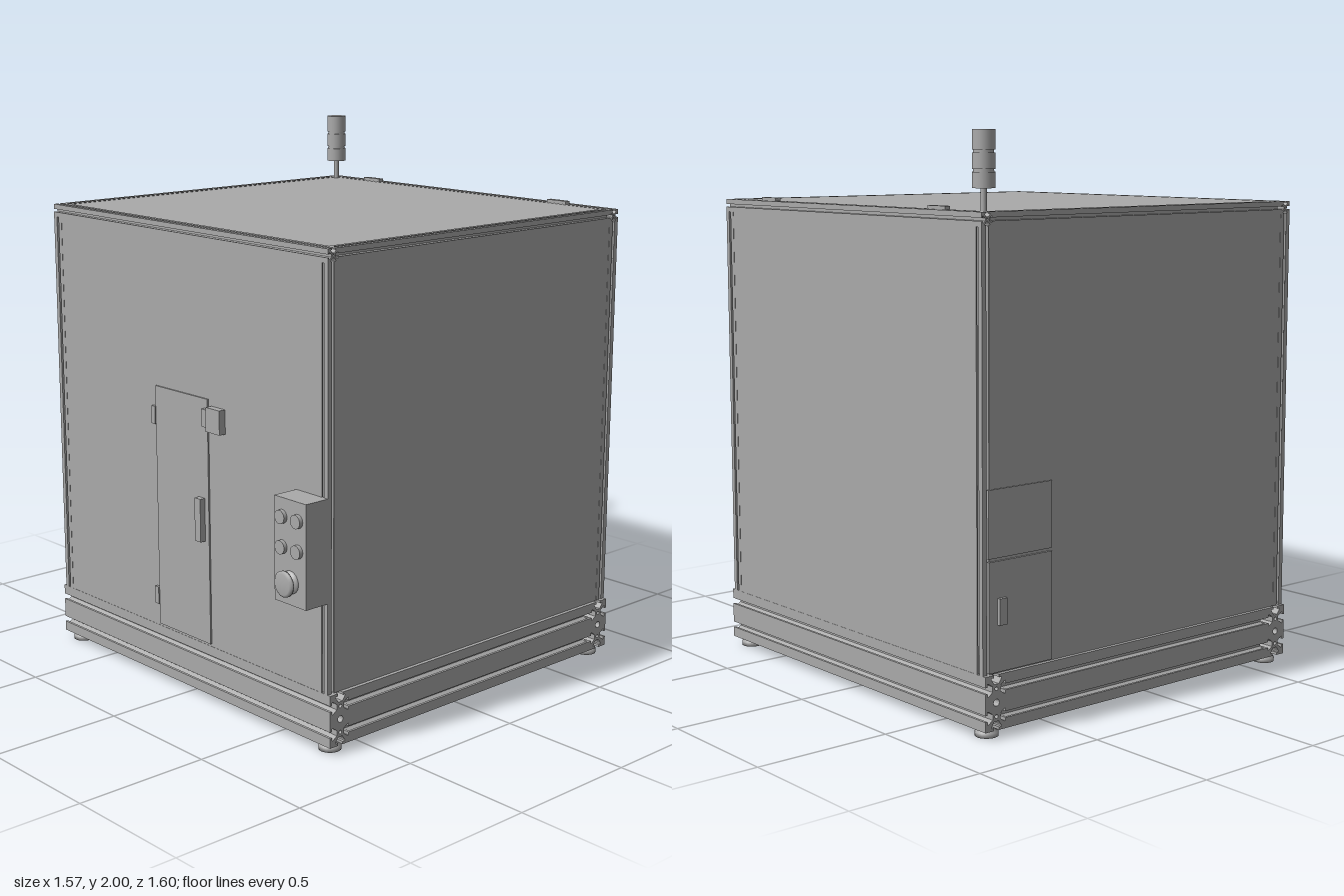
import * as THREE from 'three';

const grey = new THREE.MeshStandardMaterial({ color: 0xaaaaaa });
grey.name = 'machine grey';

export function createModel() {
  const root = new THREE.Group();
  root.name = 'machineEnclosure';

  const add = (name, geo, x = 0, y = 0, z = 0) => {
    const m = new THREE.Mesh(geo, grey);
    m.name = name;
    m.position.set(x, y, z);
    root.add(m);
    return m;
  };
  // box given by its min and max corners
  const box = (name, x0, x1, y0, y1, z0, z1) =>
    add(name, new THREE.BoxGeometry(x1 - x0, y1 - y0, z1 - z0), (x0 + x1) / 2, (y0 + y1) / 2, (z0 + z1) / 2);
  const cyl = (name, r, h, x, y, z) => add(name, new THREE.CylinderGeometry(r, r, h, 24), x, y, z);
  const lathe = (name, pts, x, y, z) =>
    add(name, new THREE.LatheGeometry(pts.map(p => new THREE.Vector2(...p)), 28), x, y, z);

  // slotted aluminium profile: cell width s, n cells stacked vertically
  const profile = (s, n) => {
    const slot = [[-0.115, 0], [-0.115, 0.1], [-0.23, 0.1], [-0.23, 0.14], [-0.1, 0.33],
      [0.1, 0.33], [0.23, 0.14], [0.23, 0.1], [0.115, 0.1], [0.115, 0]];
    const pts = [];
    const side = (x, y, dx, dy, cells) => {
      pts.push(new THREE.Vector2(x * s, y * s));
      for (let i = 0; i < cells; i++) {
        for (const [t, d] of slot) {
          const a = i + 0.5 + t;
          pts.push(new THREE.Vector2((x + dx * a - dy * d) * s, (y + dy * a + dx * d) * s));
        }
      }
    };
    side(-0.5, -n / 2, 1, 0, 1);
    side(0.5, -n / 2, 0, 1, n);
    side(0.5, n / 2, -1, 0, 1);
    side(-0.5, n / 2, 0, -1, n);
    const shape = new THREE.Shape(pts);
    const hole = (y, r) => shape.holes.push(new THREE.Path().absarc(0, y * s, r * s, 0, Math.PI * 2, true));
    for (let i = 0; i < n; i++) hole(i + 0.5 - n / 2, 0.07);
    for (let i = 1; i < n; i++) hole(i - n / 2, 0.13);
    return shape;
  };
  const beam = (name, shape, length, axis, x, y, z) => {
    const g = new THREE.ExtrudeGeometry(shape, { depth: length, bevelEnabled: false, curveSegments: 6 });
    g.translate(0, 0, -length / 2);
    if (axis === 'x') g.rotateY(Math.PI / 2);
    if (axis === 'y') g.rotateX(-Math.PI / 2);
    return add(name, g, x, y, z);
  };

  const F = 0.665, B = -0.797, mid = (F + B) / 2, depth = F - B, W = 0.767;
  const S = 0.095, P = 0.0475;
  const heavy = profile(S, 2), light = profile(P, 1);

  // base frame and its floor
  for (const z of [F - S / 2, B + S / 2]) beam('baseCrossBeam', heavy, 1.56, 'x', 0, 0.125, z);
  for (const x of [-1, 1]) beam('baseSideBeam', heavy, depth - 2 * S, 'z', x * (0.78 - S / 2), 0.125, mid);
  box('floorPlate', -0.74, 0.74, 0.2, 0.222, B + 0.03, F - 0.03);

  // upper frame and corner posts
  for (const z of [F - P / 2, B + P / 2]) {
    beam('topCrossBeam', light, 2 * W, 'x', 0, 1.74 - P / 2, z);
    for (const x of [-1, 1]) beam('cornerPost', light, 1.74 - P - 0.22, 'y', x * (W - P / 2), (1.74 - P + 0.22) / 2, z);
  }
  for (const x of [-1, 1]) beam('topSideBeam', light, depth - 2 * P, 'z', x * (W - P / 2), 1.74 - P / 2, mid);

  // wall and roof panels
  const px = W - P, y0 = 0.22, y1 = 1.74 - P, e = 0.001, t = 0.02;
  box('frontPanel', -px, px, y0, y1, F - t, F - e);
  box('backPanel', -px, px, y0, y1, B + e, B + t);
  box('leftPanel', W - t, W - e, y0, y1, B + P, F - P);
  box('rightPanel', -W + e, -W + t, y0, y1, B + P, F - P);
  box('roofPanel', -px, px, 1.74 - t, 1.74 - e, B + P, F - P);
  for (const x of [-0.505, 0.505]) box('roofHinge', x - 0.046, x + 0.046, 1.73, 1.752, -0.775, -0.753);

  // front door with hinges, handle and safety switch
  box('frontDoor', -0.15, 0.148, 0.23, 1.14, F - 0.005, F + 0.005);
  for (const y of [0.34, 1.03]) box('doorHinge', -0.17, -0.149, y - 0.033, y + 0.033, F - 0.005, F + 0.01);
  box('doorHandle', 0.095, 0.127, 0.615, 0.775, F, 0.692);
  box('switchBody', 0.165, 0.24, 1.03, 1.118, F, 0.692);
  box('switchKey', 0.132, 0.165, 1.042, 1.106, F, 0.685);

  // service hatch on the side wall
  box('upperHatch', -W - 0.004, -W + 0.005, 0.61, 0.84, -0.775, -0.5);
  box('lowerHatch', -W - 0.006, -W + 0.005, 0.225, 0.6, -0.775, -0.5);
  box('hatchHandle', -0.785, -W, 0.385, 0.475, -0.738, -0.705);

  // control box with push buttons and stop button
  box('controlBox', 0.61, 0.767, 0.545, 0.91, F - 0.005, 0.762);
  for (const x of [0.65, 0.728]) {
    for (const y of [0.74, 0.845]) cyl('pushButton', 0.024, 0.016, x, y, 0.768).rotation.x = Math.PI / 2;
  }
  lathe('stopButton', [[0.04, 0], [0.04, 0.012], [0.024, 0.014], [0.024, 0.024], [0.045, 0.026],
    [0.045, 0.034], [0.036, 0.041], [0, 0.041]], 0.69, 0.625, 0.76).rotation.x = Math.PI / 2;

  // signal tower
  cyl('towerPole', 0.01, 0.09, -0.7, 1.775, -0.733);
  for (const [a, b] of [[1.813, 1.865], [1.874, 1.926], [1.935, 2]]) {
    cyl('towerLamp', 0.038, b - a, -0.7, (a + b) / 2, -0.733);
  }
  cyl('towerCore', 0.034, 0.16, -0.7, 1.9, -0.733);

  // levelling feet
  for (const x of [-0.725, 0.725]) {
    for (const z of [0.615, -0.747]) {
      lathe('foot', [[0, 0], [0.04, 0], [0.04, 0.016], [0.03, 0.02], [0.03, 0.032]], x, 0, z);
    }
  }

  // mechanism hanging beneath the floor
  box('driveHousing', -0.02, 0.06, 0.06, 0.2, 0.11, 0.19);
  cyl('turntable', 0.07, 0.03, 0.03, 0.185, -0.06);
  cyl('locatingPin', 0.015, 0.08, 0.23, 0.16, -0.08);
  cyl('locatingPin', 0.015, 0.08, -0.015, 0.15, 0);
  for (const z of [0, 0.1]) box('bracketRail', -0.05, 0.13, 0.17, 0.182, z, z + 0.012);
  for (const x of [-0.05, 0.118]) box('bracketEnd', x, x + 0.012, 0.17, 0.182, 0, 0.112);

  return root;
}
